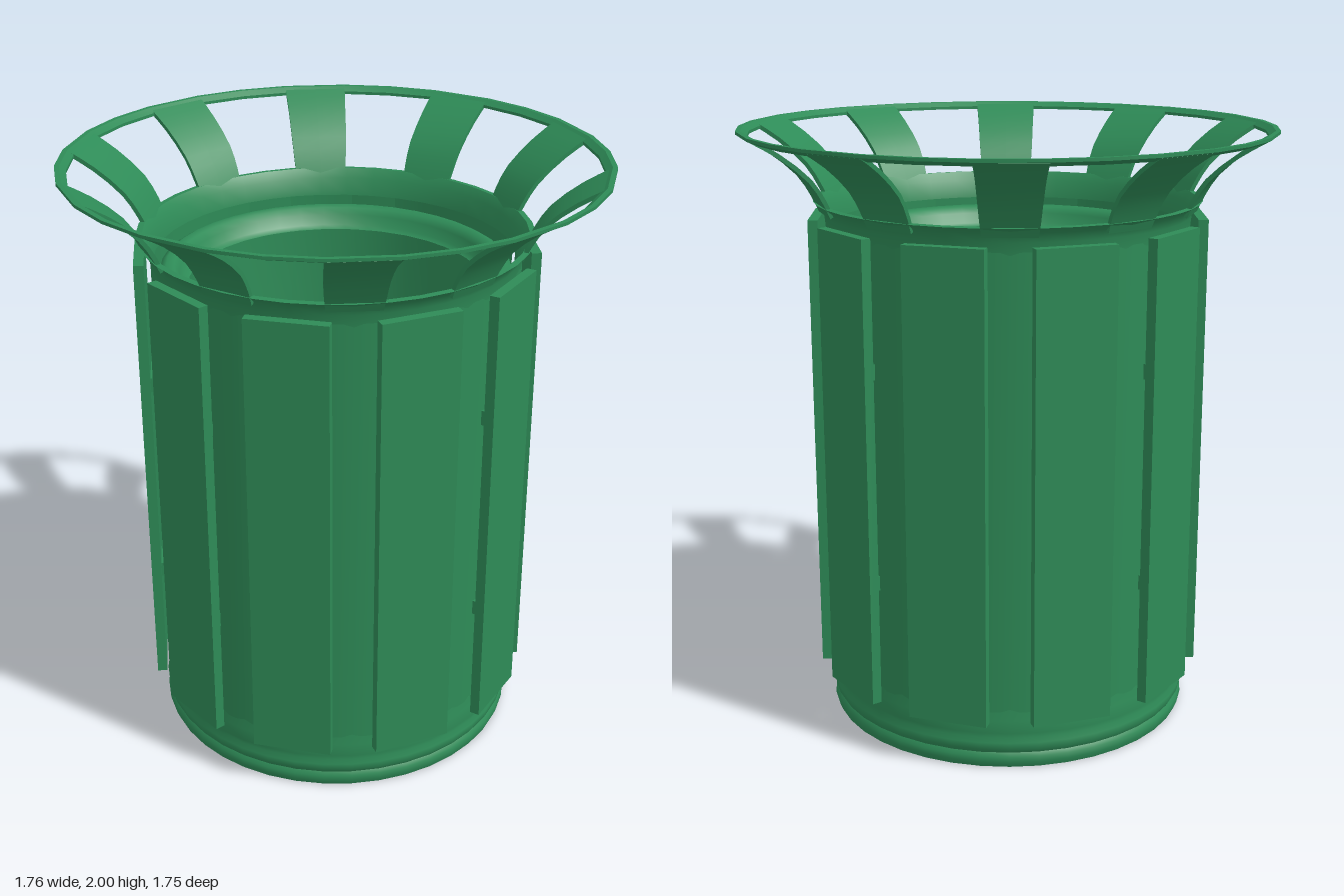
import * as THREE from 'three';
import { toCreasedNormals } from 'three/addons/utils/BufferGeometryUtils.js';

const COUNT = 10;
const STEP = (Math.PI * 2) / COUNT;
const deg = THREE.MathUtils.degToRad;
const paint = new THREE.MeshStandardMaterial({ color: 0x2e8b57, side: THREE.DoubleSide });

function addMesh(parent, name, geometry, crease = 0.9) {
  const mesh = new THREE.Mesh(toCreasedNormals(geometry, crease), paint);
  mesh.name = name;
  parent.add(mesh);
  return mesh;
}

function addGroup(parent, name) {
  const group = new THREE.Group();
  group.name = name;
  parent.add(group);
  return group;
}

// Revolve [radius, height] pairs
function lathe(points, segments = 40) {
  return new THREE.LatheGeometry(points.map(([r, y]) => new THREE.Vector2(r, y)), segments);
}

// Spoke: a thin slab bent along a flaring curve, wider at the top
function spokeGeometry() {
  const curve = new THREE.CatmullRomCurve3(
    [[0.612, 1.74], [0.635, 1.79], [0.68, 1.86], [0.775, 1.94], [0.862, 1.992]]
      .map(([r, y]) => new THREE.Vector3(0, y, r)));
  const geo = new THREE.BoxGeometry(1, 1, 1, 2, 8, 1);
  const pos = geo.attributes.position;
  for (let i = 0; i < pos.count; i++) {
    const v = pos.getY(i) + 0.5;
    const p = curve.getPoint(v);
    const t = curve.getTangent(v);
    const offset = pos.getZ(i) * 0.014;
    const width = 0.17 + 0.045 * v;
    pos.setXYZ(i, pos.getX(i) * width, p.y - t.z * offset, p.z + t.y * offset);
  }
  geo.computeVertexNormals();
  return geo;
}

// Top ring: 30 sides, with corners at both edges of each spoke and midway between spokes
function ringGeometry() {
  const corners = [-7, 7, 18].map(deg);
  const geo = lathe([[0.845, 1.975], [0.881, 1.99], [0.881, 2], [0.865, 2], [0.845, 1.985], [0.845, 1.975]], 30);
  const pos = geo.attributes.position;
  for (let i = 0; i < pos.count; i++) {
    const r = Math.hypot(pos.getX(i), pos.getZ(i));
    const k = Math.round(Math.atan2(pos.getX(i), pos.getZ(i)) / (STEP / 3)) + 30;
    const a = Math.floor(k / 3) * STEP + corners[k % 3];
    pos.setXYZ(i, r * Math.sin(a), pos.getY(i), r * Math.cos(a));
  }
  geo.computeVertexNormals();
  return geo;
}

export function createModel() {
  const model = new THREE.Group();
  model.name = 'litterBin';

  // Ribbed base with a recessed underside
  addMesh(model, 'base', lathe([
    [0, 0.09], [0.585, 0.09], [0.59, 0], [0.61, 0], [0.618, 0.02], [0.616, 0.038],
    [0.608, 0.05], [0.616, 0.064], [0.618, 0.088], [0.609, 0.103], [0.613, 0.12],
    [0.606, 0.16], [0.602, 0.2], [0.59, 0.2], [0.585, 0.09],
  ]));

  // Flared collar under the crown
  addMesh(model, 'collar', lathe([
    [0.59, 1.68], [0.602, 1.68], [0.606, 1.72], [0.618, 1.75],
    [0.642, 1.768], [0.622, 1.77], [0.6, 1.74], [0.59, 1.68],
  ]));

  // Upright straps of the drum, with open slots between them behind the panels
  const straps = addGroup(model, 'straps');
  const half = deg(10.5);
  for (let i = 0; i < COUNT; i++) {
    addMesh(straps, 'strap', new THREE.CylinderGeometry(
      0.602, 0.602, 1.5, 4, 1, true, i * STEP - half, half * 2)).position.y = 0.94;
  }

  // Inner liner: rounded lip, deep wall and dished bottom
  addMesh(model, 'linerLip', lathe([
    [0.5, 1.58], [0.56, 1.6], [0.575, 1.625], [0.57, 1.648], [0.55, 1.66],
    [0.525, 1.655], [0.508, 1.635], [0.5, 1.6], [0.482, 1.59],
  ]), 1.3);
  addMesh(model, 'liner', lathe([
    [0, 0.16], [0.15, 0.175], [0.28, 0.21], [0.37, 0.27], [0.43, 0.36], [0.465, 0.5], [0.482, 1.59],
  ], 30), 1);

  // Panels round the drum, each on two spacers, with a gap at the front centre
  const panels = addGroup(model, 'panels');
  const board = new THREE.BoxGeometry(0.262, 1.545, 0.033);
  const spacer = new THREE.BoxGeometry(0.2, 0.05, 0.03);
  for (let i = 0; i < COUNT; i++) {
    const mount = addGroup(panels, 'panelMount');
    mount.rotation.y = (i + 0.5) * STEP;
    addMesh(mount, 'panel', board).position.set(0, 0.9375, 0.634);
    for (const y of [0.57, 1.28]) {
      addMesh(mount, 'spacer', spacer).position.set(0, y, 0.606);
    }
  }

  // Flared crown of spokes and ring
  const crown = addGroup(model, 'crown');
  const spoke = spokeGeometry();
  for (let i = 0; i < COUNT; i++) {
    addMesh(crown, 'spoke', spoke).rotation.y = i * STEP;
  }
  addMesh(crown, 'topRing', ringGeometry(), 0.4);

  return model;
}
